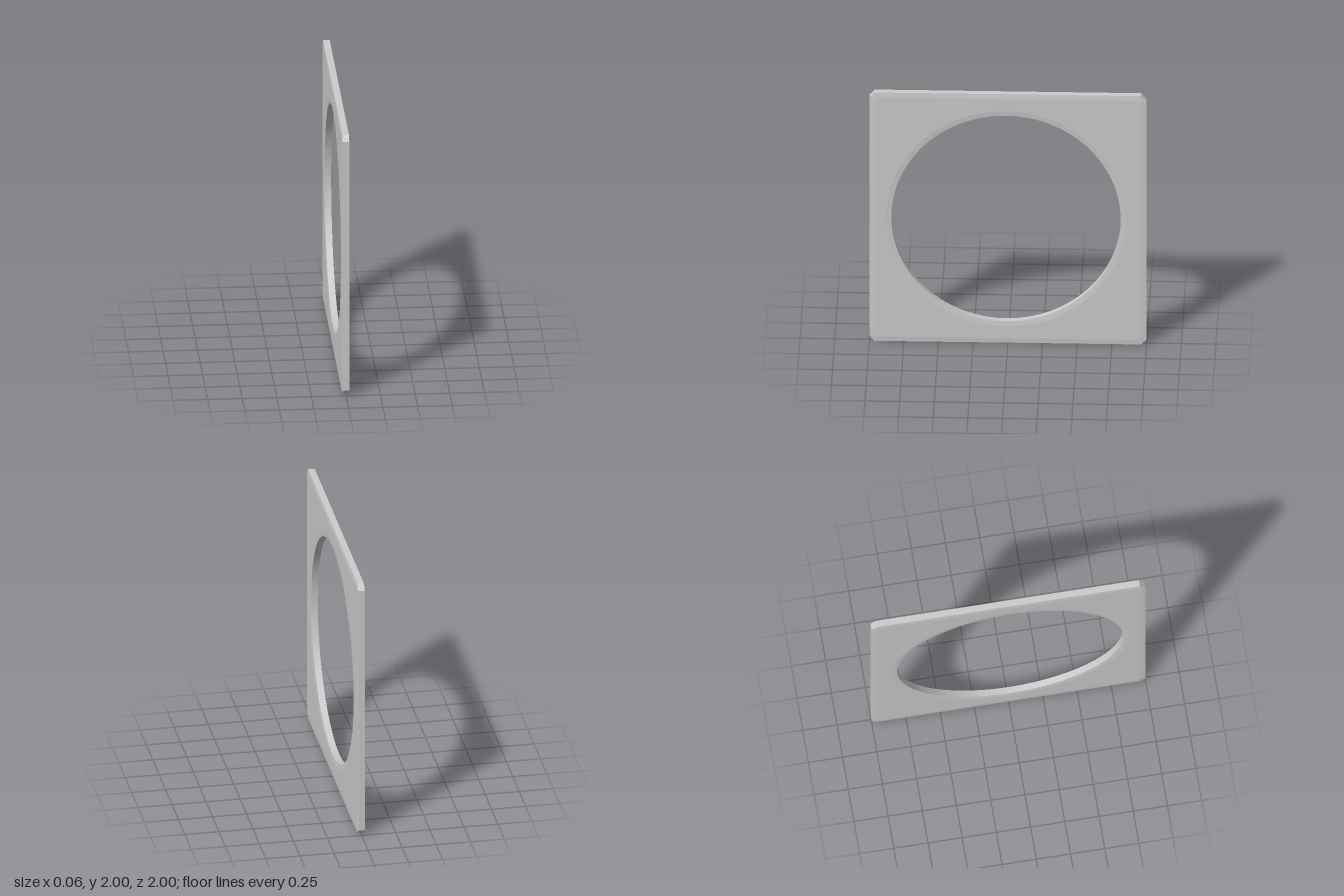
import * as THREE from 'three';
import { toCreasedNormals } from 'three/addons/utils/BufferGeometryUtils.js';

const HALF = 1;            // half side of the square
const CORNER = 0.04;       // corner chamfer
const THICKNESS = 0.056;
const BEVEL_WIDTH = 0.038; // shallow slope along every rim
const BEVEL_DEPTH = 0.004;

export function createModel() {
  const group = new THREE.Group();
  group.name = 'framePlate';

  // Square outline with clipped corners
  const c = HALF - CORNER;
  const outline = new THREE.Shape([
    [c, -HALF], [HALF, -c], [HALF, c], [c, HALF],
    [-c, HALF], [-HALF, c], [-HALF, -c], [-c, -HALF],
  ].map(([x, y]) => new THREE.Vector2(x, y)));

  // Large round opening, slightly off centre
  const opening = new THREE.Path();
  opening.absarc(-0.013, 0, 0.827, 0, Math.PI * 2, true);
  outline.holes.push(opening);

  const depth = THICKNESS - 2 * BEVEL_DEPTH;
  const geometry = new THREE.ExtrudeGeometry(outline, {
    depth,
    curveSegments: 96,
    bevelEnabled: true,
    bevelSegments: 1,
    bevelSize: BEVEL_WIDTH,
    bevelOffset: -BEVEL_WIDTH,
    bevelThickness: BEVEL_DEPTH,
  });

  // Stand the plate upright, its faces towards the left and right
  geometry.translate(0, 0, -depth / 2);
  geometry.rotateY(Math.PI / 2);
  geometry.translate(0, HALF, 0);

  // Smooth round the opening, crisp at the bevels
  const plate = new THREE.Mesh(
    toCreasedNormals(geometry, 0.08),
    new THREE.MeshStandardMaterial({ color: 0xcccccc }),
  );
  plate.name = 'plate';
  group.add(plate);
  return group;
}
